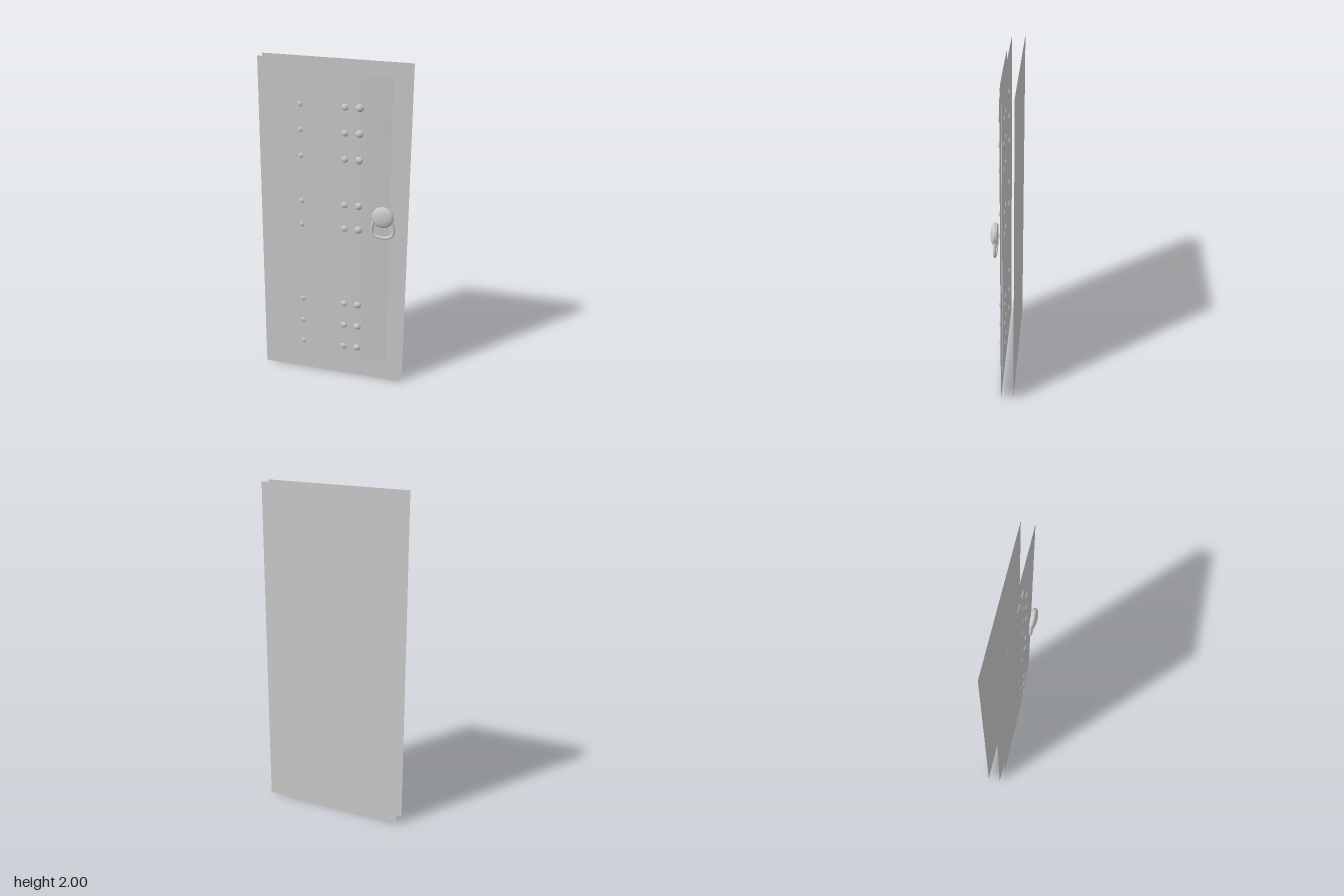
import * as THREE from 'three';

const material = new THREE.MeshStandardMaterial({ color: 0xcccccc, side: THREE.DoubleSide });

function addMesh(parent, name, geometry, x = 0, y = 0, z = 0) {
  const mesh = new THREE.Mesh(geometry, material);
  mesh.name = name;
  mesh.position.set(x, y, z);
  parent.add(mesh);
  return mesh;
}

// Thin upright sheet, very slightly out of square and turned
function sheet(z) {
  const geometry = new THREE.PlaneGeometry(1, 1);
  const p = geometry.attributes.position;
  const corners = [[-0.438, 2], [0.44, 1.995], [-0.442, 0.008], [0.433, 0]];
  corners.forEach(([x, y], i) => p.setXYZ(i, x, y, z - 0.005 * x));
  geometry.computeVertexNormals();
  return geometry;
}

// Bowed panel whose right edge sinks into the front sheet
function bowedPanel() {
  const curve = new THREE.SplineCurve([
    [-0.4, 0.034], [-0.18, 0.032], [0.08, 0.029], [0.2, 0.023], [0.33, 0.006], [0.37, -0.002],
  ].map(([x, z]) => new THREE.Vector2(x, z)));
  const steps = 24;
  const geometry = new THREE.PlaneGeometry(1, 1, steps, 1);
  const p = geometry.attributes.position;
  for (let i = 0; i < p.count; i++) {
    const q = curve.getPoint((i % (steps + 1)) / steps);
    p.setXYZ(i, q.x, p.getY(i) > 0 ? 1.932 : 0.138, q.y);
  }
  geometry.computeVertexNormals();
  return geometry;
}

// Dome turned about z, from its rim to its crown
function dome(radius, depth, startAngle) {
  const points = [];
  for (let i = 0; i <= 8; i++) {
    const a = startAngle + (Math.PI / 2 - startAngle) * i / 8;
    points.push(new THREE.Vector2(i === 8 ? 0 : radius * Math.cos(a), depth * Math.sin(a)));
  }
  return new THREE.LatheGeometry(points, 20).rotateX(Math.PI / 2);
}

export function createModel() {
  const door = new THREE.Group();
  door.name = 'door';
  addMesh(door, 'frontSheet', sheet(0.006));
  addMesh(door, 'backSheet', sheet(-0.07));
  addMesh(door, 'bowedPanel', bowedPanel());

  // Studs, each a front and a back cap
  const studs = new THREE.Group();
  studs.name = 'studs';
  door.add(studs);
  const cap = dome(0.026, 0.021, 0.39);
  for (const x of [-0.183, 0.077, 0.16]) {
    for (const y of [1.75, 1.6, 1.445, 1.165, 1.015, 0.515, 0.365, 0.215]) {
      addMesh(studs, 'studFront', cap, x, y, 0.0155);
      addMesh(studs, 'studBack', cap, x, y, 0.0155).rotation.y = Math.PI;
    }
  }

  // Knob with a hanging pull ring
  const handle = new THREE.Group();
  handle.name = 'handle';
  handle.position.set(0.31, 1.12, 0);
  door.add(handle);
  addMesh(handle, 'knobBase', new THREE.CylinderGeometry(0.065, 0.06, 0.016, 24).rotateX(Math.PI / 2), 0, 0, 0.037);
  addMesh(handle, 'knobDome', dome(0.065, 0.022, 0), 0, 0, 0.045);

  const half = [[0.045, -0.005], [0.058, -0.045], [0.064, -0.085], [0.052, -0.115]];
  const mirrored = half.map(([x, y]) => [-x, y]).reverse();
  const path = new THREE.CatmullRomCurve3(
    [...half, [0, -0.13], ...mirrored].map(([x, y]) => new THREE.Vector3(x, y, 0.04)));
  addMesh(handle, 'pullRing', new THREE.TubeGeometry(path, 40, 0.009, 8));
  return door;
}
